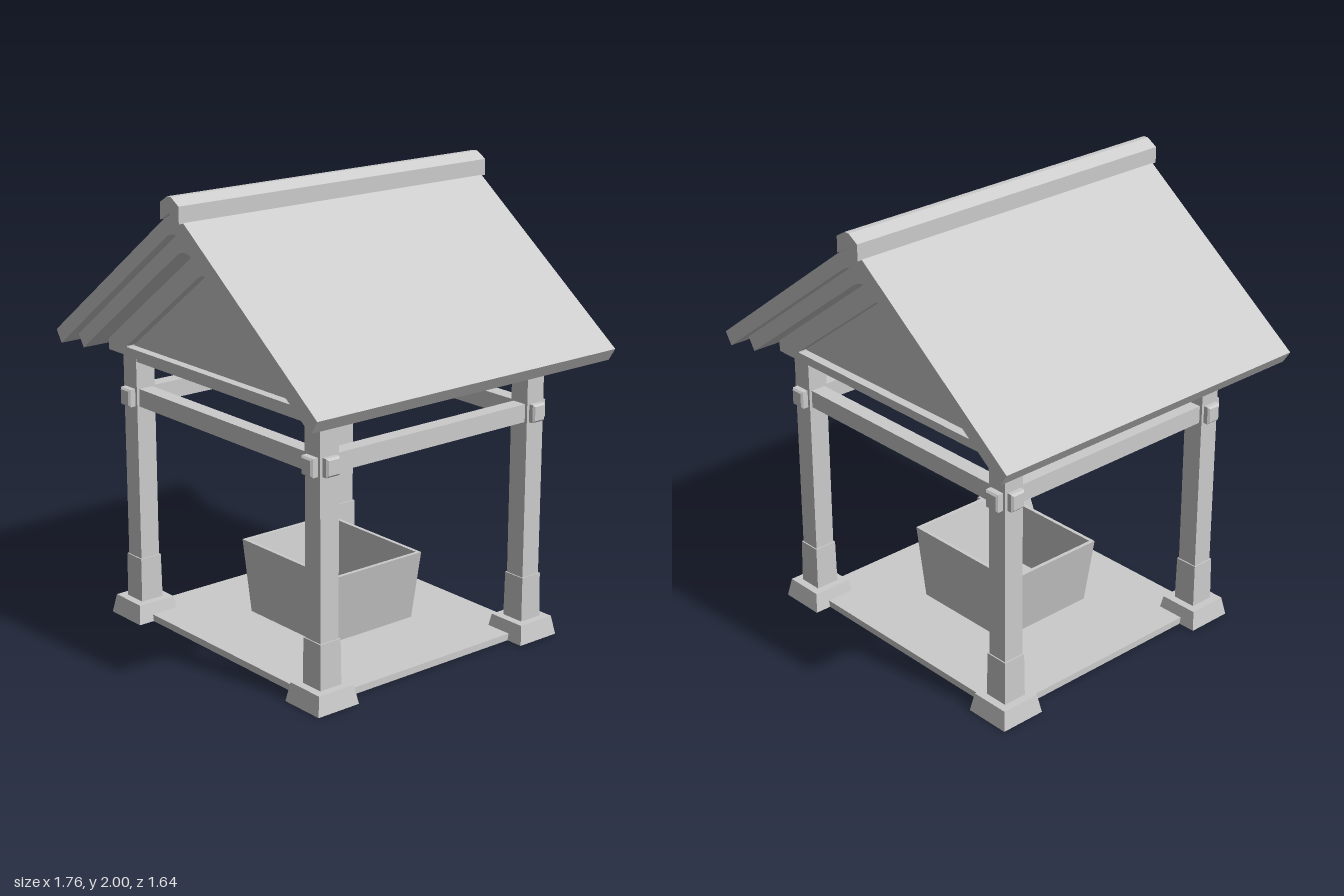
import * as THREE from 'three';

const SLOPE = 0.75;   // roof pitch
const POST_X = 0.615, POST_Z = 0.56;

export function createModel() {
  const model = new THREE.Group();
  const material = new THREE.MeshStandardMaterial({ color: 0xcccccc, flatShading: true });

  function add(name, geometry, x = 0, y = 0, z = 0, parent = model) {
    const mesh = new THREE.Mesh(geometry, material);
    mesh.name = name;
    mesh.position.set(x, y, z);
    parent.add(mesh);
    return mesh;
  }
  // box given by its size and the height of its underside
  function box(name, w, h, d, x, y, z, parent) {
    return add(name, new THREE.BoxGeometry(w, h, d), x, y + h / 2, z, parent);
  }
  // flat outline extruded along z from z0 to z1
  function slab(name, shape, z0, z1, parent) {
    const geometry = new THREE.ExtrudeGeometry(shape, { depth: z1 - z0, bevelEnabled: false, curveSegments: 6 });
    return add(name, geometry, 0, 0, z0, parent);
  }
  const polygon = (points) => new THREE.Shape(points.map(([x, y]) => new THREE.Vector2(x, y)));
  // square block whose top is narrower than its bottom
  function taperedBlock(bottom, top, height) {
    const geometry = new THREE.BoxGeometry(bottom, height, bottom);
    const p = geometry.attributes.position;
    for (let i = 0; i < p.count; i++) {
      if (p.getY(i) > 0) p.setXYZ(i, p.getX(i) * top / bottom, p.getY(i), p.getZ(i) * top / bottom);
    }
    geometry.computeVertexNormals();
    return geometry.translate(0, height / 2, 0);
  }
  // pitched line with a softened peak, running from +x to -x
  function softPeak(shape, apex, halfWidth) {
    const r = 0.06;
    shape.lineTo(halfWidth, apex - halfWidth * SLOPE);
    shape.lineTo(r, apex - r * SLOPE);
    shape.quadraticCurveTo(0, apex, -r, apex - r * SLOPE);
    shape.lineTo(-halfWidth, apex - halfWidth * SLOPE);
  }
  // roof layer: pitched top, softened underside, square-cut eaves
  function roofLayer(name, topApex, topX, underApex, underX, halfDepth) {
    const shape = new THREE.Shape();
    shape.moveTo(-topX, topApex - topX * SLOPE);
    shape.lineTo(0, topApex);
    shape.lineTo(topX, topApex - topX * SLOPE);
    softPeak(shape, underApex, underX);
    shape.closePath();
    slab(name, shape, -halfDepth, halfDepth);
  }
  // beam with chamfered edges and ends, lying along z
  function beamGeometry(length) {
    const bevel = 0.008, w = 0.0345 - bevel, h = 0.039 - bevel;
    const outline = polygon([[-w, -h], [w, -h], [w, h], [-w, h]]);
    const geometry = new THREE.ExtrudeGeometry(outline, {
      depth: length - 2 * bevel, bevelSize: bevel, bevelThickness: bevel, bevelSegments: 1,
    });
    return geometry.translate(0, 0, -length / 2 + bevel);
  }

  // floor
  box('floor', 1.28, 0.03, 1.18, 0, 0, 0);

  // four posts on tapered footings
  for (const sx of [-1, 1]) {
    for (const sz of [-1, 1]) {
      const post = new THREE.Group();
      post.name = 'post';
      post.position.set(sx * POST_X, 0, sz * POST_Z);
      model.add(post);
      add('footing', taperedBlock(0.21, 0.18, 0.083), 0, 0, 0, post);
      add('postSleeve', taperedBlock(0.11, 0.105, 0.2), 0, 0.08, 0, post);
      box('postShaft', 0.094, 0.94, 0.094, 0, 0.27, 0, post);
    }
  }

  // tie beams passing through the posts, and upper beams between the posts
  for (const s of [-1, 1]) {
    add('sideTieBeam', beamGeometry(1.28), s * POST_X, 1.013, 0);
    add('crossTieBeam', beamGeometry(1.38), 0, 1.013, s * POST_Z).rotation.y = Math.PI / 2;
    box('sideUpperBeam', 0.09, 0.035, 1.03, s * POST_X, 1.175, 0);
    box('crossUpperBeam', 1.14, 0.035, 0.09, 0, 1.175, s * POST_Z);
    box('wallPlate', 0.135, 0.035, 1.04, s * 0.6375, 1.21, 0);
  }

  // gables: triangular frame with a recessed panel
  const frame = polygon([[-0.705, 1.21], [0.705, 1.21], [0.705, 1.262], [0, 1.79], [-0.705, 1.262]]);
  const opening = new THREE.Path();
  opening.moveTo(-0.57, 1.247);
  opening.lineTo(0.57, 1.247);
  softPeak(opening, 1.68, 0.57);
  opening.closePath();
  frame.holes.push(opening);
  const panel = polygon([[-0.6, 1.235], [0.6, 1.235], [0, 1.7]]);
  for (const s of [-1, 1]) {
    slab('gableFrame', frame, s * 0.58 - 0.07, s * 0.58 + 0.07);
    slab('gablePanel', panel, s * 0.6 - 0.01, s * 0.6 + 0.01);
  }

  // roof: inner boarding, outer covering, ridge cap
  roofLayer('roofBoarding', 1.88, 0.79, 1.788, 0.75, 0.75);
  roofLayer('roofCovering', 1.949, 0.88, 1.869, 0.845, 0.8);
  slab('ridgeCap', polygon([
    [-0.062, 1.9], [0, 1.935], [0.062, 1.9], [0.062, 1.97], [0.012, 2], [-0.012, 2], [-0.062, 1.97],
  ]), -0.82, 0.82);

  // trough: sloping ends and bottom in one section, closed by front and back boards
  const trough = new THREE.Group();
  trough.name = 'trough';
  model.add(trough);
  slab('troughEndsAndBottom', polygon([
    [-0.25, 0.04], [0.25, 0.04], [0.31, 0.36], [0.293, 0.36],
    [0.237, 0.06], [-0.237, 0.06], [-0.293, 0.36], [-0.31, 0.36],
  ]), -0.23, 0.23, trough);
  const board = polygon([[-0.25, 0.04], [0.25, 0.04], [0.31, 0.36], [-0.31, 0.36]]);
  slab('troughFront', board, 0.23, 0.247, trough);
  slab('troughBack', board, -0.247, -0.23, trough);

  return model;
}
